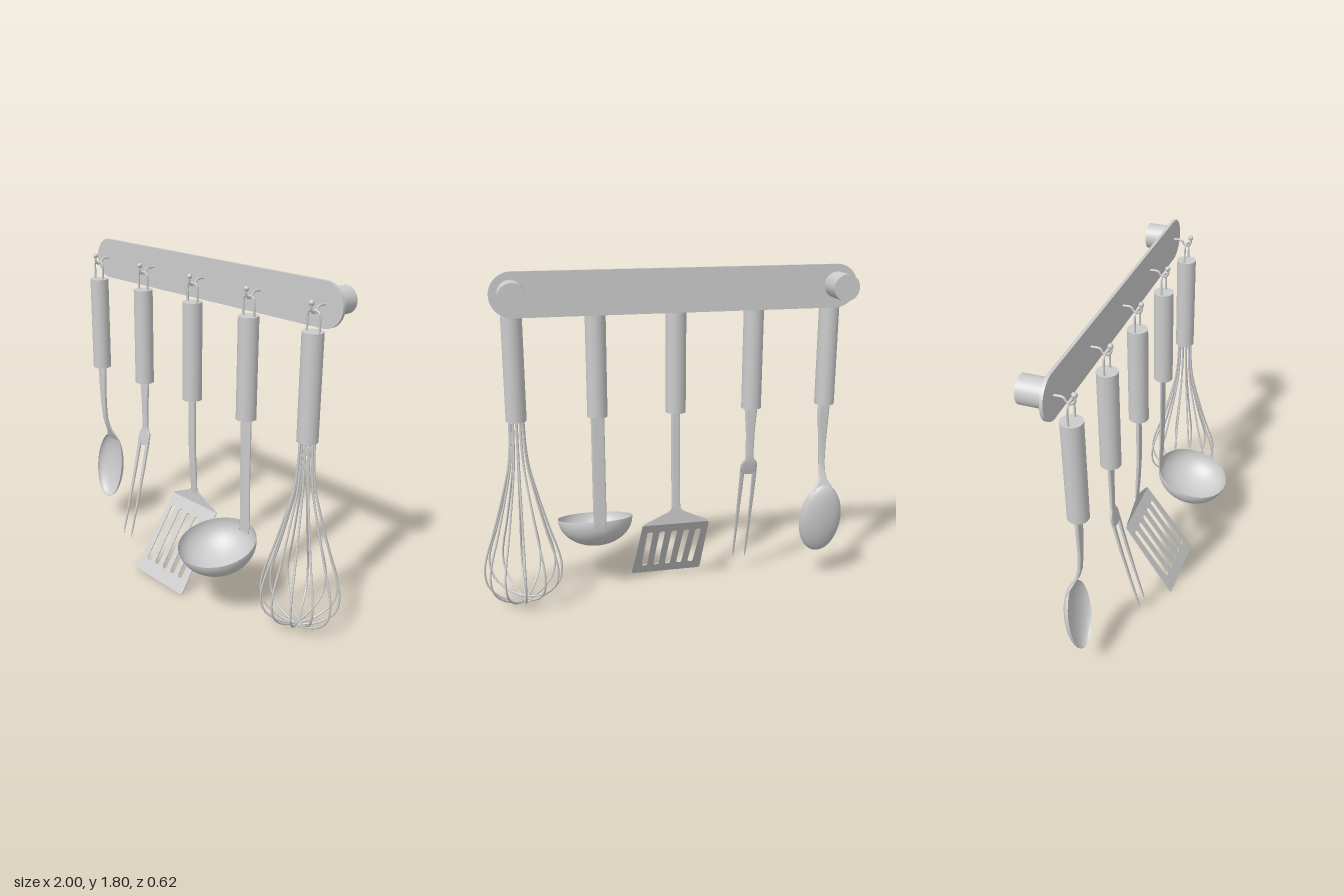
import * as THREE from 'three';

const mat = new THREE.MeshStandardMaterial({ color: 0xcccccc });
const thinMat = new THREE.MeshStandardMaterial({ color: 0xcccccc, side: THREE.DoubleSide });
const AXIS_Z = -0.088;
const v3 = (x, y, z) => new THREE.Vector3(x, y, z);

function add(parent, name, geometry, x = 0, y = 0, z = 0, material = mat) {
  const mesh = new THREE.Mesh(geometry, material);
  mesh.name = name;
  mesh.position.set(x, y, z);
  parent.add(mesh);
  return mesh;
}

// Solid bar through sections listed top to bottom: [x, y, z, half width, half thickness]
function loft(sections, n = 20) {
  const first = sections[0], last = sections[sections.length - 1];
  const rings = [[...first.slice(0, 3), 0, 0], ...sections, [...last.slice(0, 3), 0, 0]];
  const pos = [], idx = [];
  const soft = (t) => Math.sign(t) * Math.sqrt(Math.abs(t));
  rings.forEach(([x, y, z, w, t], i) => {
    for (let j = 0; j < n; j++) {
      const a = (j / n) * Math.PI * 2;
      pos.push(x + w * soft(Math.cos(a)), y, z + t * soft(Math.sin(a)));
      if (i === rings.length - 1) continue;
      const p = i * n + j, q = i * n + (j + 1) % n;
      idx.push(p, q, p + n, q, q + n, p + n);
    }
  });
  const g = new THREE.BufferGeometry();
  g.setAttribute('position', new THREE.Float32BufferAttribute(pos, 3));
  g.setIndex(idx);
  g.computeVertexNormals();
  return g;
}

function wire(points, radius, segments) {
  return new THREE.TubeGeometry(new THREE.CatmullRomCurve3(points, false, 'centripetal'), segments, radius, 8);
}

function sheet(shape, depth) {
  return new THREE.ExtrudeGeometry(shape, { depth, bevelEnabled: false, curveSegments: 16 });
}

// Upright slot or capsule outline, from y0 to y1
function slot(x, y0, y1, r) {
  const p = new THREE.Path();
  p.absarc(x, y1 - r, r, 0, Math.PI, false);
  p.absarc(x, y0 + r, r, Math.PI, Math.PI * 2, false);
  p.closePath();
  return p;
}

// Wall rail with two mounting posts behind
function makeRail(xs) {
  const g = new THREE.Group();
  g.name = 'rail';
  const s = new THREE.Shape(), r = 0.112, cy = 1.69;
  s.absarc(-0.878, cy, r, Math.PI / 2, Math.PI * 1.5, false);
  s.absarc(0.782, cy, r, -Math.PI / 2, Math.PI / 2, false);
  s.closePath();
  add(g, 'railPlate', sheet(s, 0.016), 0, 0, -0.178);
  for (const x of [xs[0], xs[4]]) {
    add(g, 'mountingPost', new THREE.CylinderGeometry(0.068, 0.068, 0.135, 32), x, 1.696, -0.2425).rotation.x = Math.PI / 2;
  }
  // Hooks with ball ends
  const path = [[-0.165, 1.694], [-0.125, 1.694], [-0.114, 1.688], [-0.106, 1.674], [-0.09, 1.666],
    [-0.073, 1.673], [-0.064, 1.692], [-0.067, 1.714]].map(([z, y]) => v3(0, y, z));
  for (const x of xs) {
    add(g, 'hook', wire(path, 0.006, 32), x);
    add(g, 'hookBall', new THREE.SphereGeometry(0.014, 16, 12), x, 1.714, -0.067);
  }
  return g;
}

// Handle with its hanging loop, shared by all utensils
function makeUtensil(name, x) {
  const g = new THREE.Group();
  g.name = name;
  g.position.x = x;
  add(g, 'handle', new THREE.CylinderGeometry(0.053, 0.053, 0.538, 32), 0, 1.309, AXIS_Z);
  const half = [[0.038, 1.57], [0.038, 1.62], [0.038, 1.65], [0.033, 1.668], [0.018, 1.675]];
  const pts = [...half, ...half.map(([a, b]) => [-a, b]).reverse()].map(([a, b]) => v3(a, b, AXIS_Z));
  add(g, 'hangingLoop', wire(pts, 0.0055, 40));
  return g;
}

function makeSpoon(x) {
  const g = makeUtensil('spoon', x);
  add(g, 'spoonStem', loft([[0, 1.05, -0.088, 0.034, 0.012], [0, 0.95, -0.088, 0.029, 0.011],
    [0, 0.8, -0.09, 0.021, 0.01], [0, 0.7, -0.099, 0.017, 0.01], [0, 0.65, -0.113, 0.018, 0.009],
    [0, 0.61, -0.13, 0.024, 0.007], [0, 0.575, -0.146, 0.048, 0.005], [0, 0.545, -0.158, 0.06, 0.003]]));
  // Egg-shaped shell, hollow towards the front
  const bowl = new THREE.SphereGeometry(1, 40, 14, 0, Math.PI * 2, 0, Math.PI / 2);
  bowl.rotateX(-Math.PI / 2);
  bowl.scale(0.123, 0.21, 0.06);
  add(g, 'spoonBowl', bowl, 0, 0.375, -0.117, thinMat).rotation.x = -0.138;
  return g;
}

function makeFork(x) {
  const g = makeUtensil('fork', x);
  add(g, 'forkStem', loft([[0, 1.05, -0.088, 0.036, 0.01], [0, 0.9, -0.088, 0.024, 0.01],
    [0, 0.77, -0.088, 0.021, 0.009], [0, 0.745, -0.087, 0.026, 0.009], [0, 0.728, -0.085, 0.042, 0.009],
    [0, 0.71, -0.081, 0.047, 0.009], [0, 0.655, -0.069, 0.047, 0.008]]));
  for (const s of [-1, 1]) {
    add(g, 'forkTine', loft([[s * 0.035, 0.67, -0.073, 0.0125, 0.008], [s * 0.036, 0.5, -0.035, 0.01, 0.007],
      [s * 0.036, 0.3, 0.014, 0.007, 0.006], [s * 0.036, 0.14, 0.055, 0.005, 0.005],
      [s * 0.036, 0.095, 0.066, 0.001, 0.001]], 12));
  }
  return g;
}

function makeTurner(x) {
  const g = makeUtensil('turner', x);
  add(g, 'turnerStem', loft([[0, 1.05, -0.088, 0.024, 0.011], [0, 0.75, -0.09, 0.024, 0.01],
    [0, 0.6, -0.098, 0.024, 0.009], [0, 0.47, -0.107, 0.024, 0.004]]));
  // Flared neck above the sloping blade
  const neck = new THREE.Shape();
  neck.moveTo(0.185, 0.409);
  neck.quadraticCurveTo(0.17, 0.425, 0.14, 0.435);
  neck.lineTo(0.05, 0.477);
  neck.quadraticCurveTo(0.026, 0.488, 0.024, 0.51);
  neck.lineTo(-0.024, 0.51);
  neck.quadraticCurveTo(-0.026, 0.488, -0.05, 0.477);
  neck.lineTo(-0.14, 0.435);
  neck.quadraticCurveTo(-0.17, 0.425, -0.185, 0.409);
  add(g, 'turnerNeck', sheet(neck, 0.005), 0, 0, -0.111);
  // Slotted blade
  const s = new THREE.Shape(), len = 0.492;
  s.moveTo(0.185, 0);
  s.lineTo(-0.185, 0);
  s.lineTo(-0.204, -len + 0.02);
  s.quadraticCurveTo(-0.205, -len, -0.185, -len);
  s.lineTo(0.185, -len);
  s.quadraticCurveTo(0.205, -len, 0.204, -len + 0.02);
  s.closePath();
  for (let i = -2; i <= 2; i++) s.holes.push(slot(i * 0.068, -0.416, -0.07, 0.016));
  add(g, 'turnerBlade', sheet(s, 0.005), 0, 0.41, -0.111).rotation.x = -0.59;
  return g;
}

function makeLadle(x) {
  const g = makeUtensil('ladle', x);
  add(g, 'ladleStem', loft([[0, 1.05, -0.09, 0.036, 0.008], [0, 0.7, -0.092, 0.036, 0.007],
    [0, 0.44, -0.099, 0.036, 0.005], [0, 0.39, -0.095, 0.036, 0.004]]));
  // Tilted bowl
  const bowl = new THREE.SphereGeometry(1, 48, 18, 0, Math.PI * 2, Math.PI / 2, Math.PI / 2);
  bowl.scale(0.209, 0.158, 0.209);
  add(g, 'ladleBowl', bowl, 0, 0.398, 0.1035, thinMat).rotation.x = 0.25;
  return g;
}

function makeWhisk(x) {
  const g = makeUtensil('whisk', x);
  const profile = [[0.036, 1.05], [0.04, 0.92], [0.052, 0.8], [0.087, 0.65], [0.152, 0.42], [0.19, 0.3],
    [0.205, 0.21], [0.187, 0.12], [0.11, 0.048]];
  // Six wire loops, each crossing a little above the last
  for (let i = 0; i < 6; i++) {
    const lift = (y) => y + i * 0.007 * (1 - Math.min(y / 0.4, 1));
    const pts = [...profile, [0, 0.018], ...profile.map(([r, y]) => [-r, y]).reverse()]
      .map(([r, y]) => v3(r, lift(y), 0));
    add(g, 'whiskWire', wire(pts, 0.0055, 90), 0, 0, AXIS_Z).rotation.y = (i * Math.PI) / 6;
  }
  return g;
}

export function createModel() {
  const model = new THREE.Group();
  model.name = 'utensilRack';
  const xs = [-0.88, -0.463, -0.047, 0.37, 0.787];
  model.add(makeRail(xs));
  [makeSpoon, makeFork, makeTurner, makeLadle, makeWhisk].forEach((make, i) => model.add(make(xs[i])));
  return model;
}
